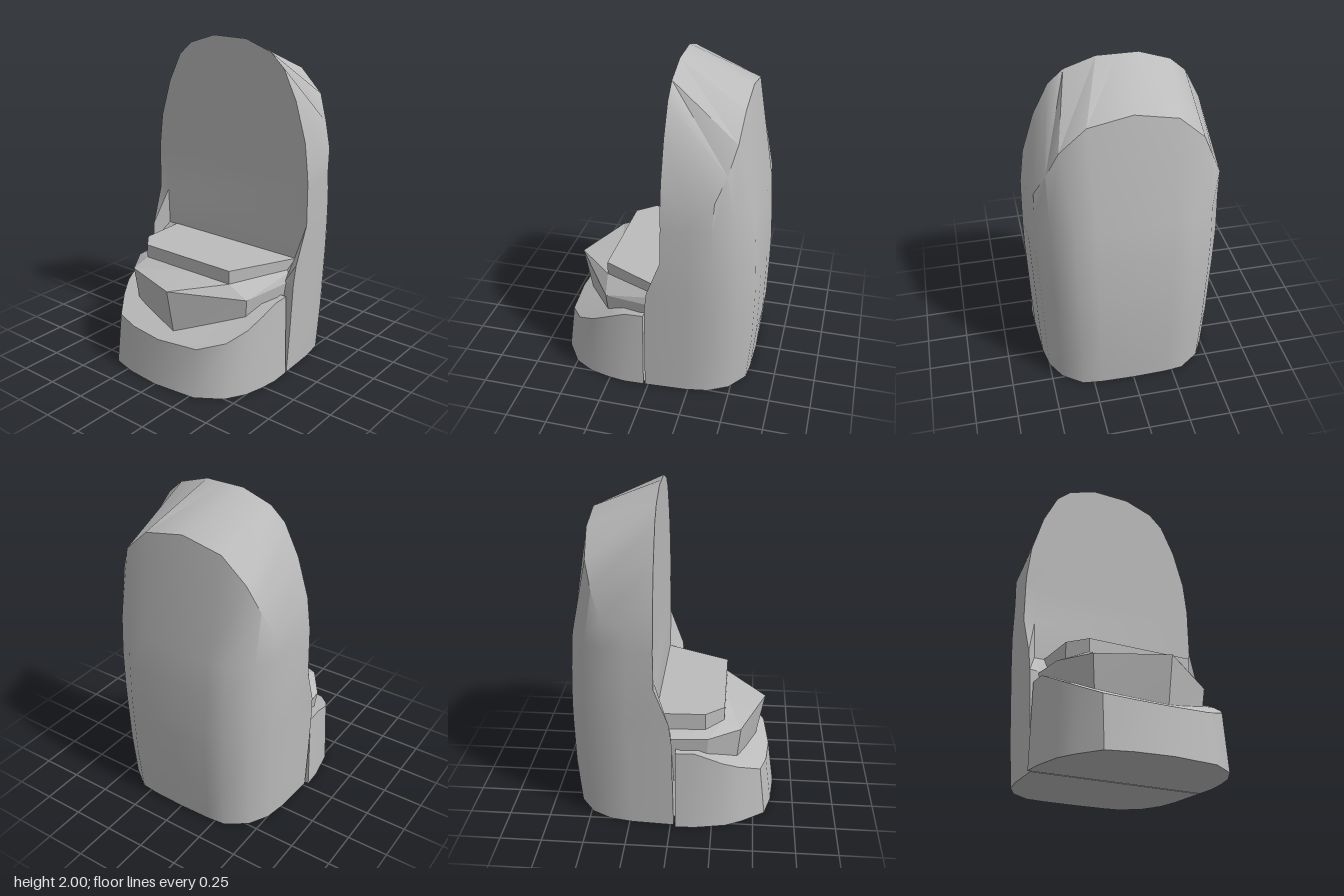
import * as THREE from 'three';
import { toCreasedNormals } from 'three/addons/utils/BufferGeometryUtils.js';

const stone = new THREE.MeshStandardMaterial({ color: 0xbcbcbc });
stone.name = 'grey stone';

// Skin closed rings of [x, y, z] from bottom to top, with a fan cap on each end.
function loft(name, rings, crease) {
  const pos = [];
  const V = (p) => new THREE.Vector3(...p);
  const tri = (a, b, c) => {
    const area = V(b).sub(V(a)).cross(V(c).sub(V(a))).length();
    if (area > 1e-6) pos.push(...a, ...b, ...c);
  };
  const centre = (ring) => [0, 1, 2].map((k) => ring.reduce((s, p) => s + p[k], 0) / ring.length);
  const n = rings[0].length;
  const bottom = rings[0], top = rings[rings.length - 1];
  const cb = centre(bottom), ct = centre(top);
  for (let i = 0; i < n; i++) {
    const j = (i + 1) % n;
    for (let r = 0; r < rings.length - 1; r++) {
      const lo = rings[r], hi = rings[r + 1];
      tri(lo[i], hi[i], lo[j]);
      tri(lo[j], hi[i], hi[j]);
    }
    tri(cb, bottom[i], bottom[j]);
    tri(ct, top[j], top[i]);
  }
  const geo = new THREE.BufferGeometry();
  geo.setAttribute('position', new THREE.Float32BufferAttribute(pos, 3));
  const mesh = new THREE.Mesh(toCreasedNormals(geo, crease), stone);
  mesh.name = name;
  return mesh;
}

// Half ring from the outer middle to the front edge, mirrored in z.
const mirror = (half) => [
  ...half,
  ...half.slice(1).reverse().map(([x, y, z]) => [x, y, -z]),
];

// Tall back: D-shaped plan, rounded arch on top, sloping roof
function makeBack() {
  const plan = [[0.625, 0], [0.62, 0.22], [0.607, 0.34], [0.515, 0.47], [0.39, 0.54], [0.25, 0.565]];
  // y, x scale, z scale, x of the front edge, x of the recessed front face
  const rows = [
    [0.005, 0.95, 0.93, -0.02, -0.02],
    [0.3, 0.99, 0.955, -0.015, -0.015],
    [0.6, 1, 0.975, -0.01, 0],
    [0.72, 1, 0.985, 0.005, 0.09],
    [0.95, 0.985, 1, 0.09, 0.09],
    [1.18, 0.96, 0.995, 0.092, 0.09],
  ];
  const rings = rows.map(([y, sx, sz, edge, face]) => mirror([
    ...plan.map(([x, z]) => [x * sx, y, z * sz]),
    [edge, y, 0.58 * sz],
    [face, y, 0.51 * sz],
  ]));
  const rim = [
    [0.49, 1.84, 0], [0.49, 1.79, 0.25], [0.48, 1.65, 0.4], [0.44, 1.49, 0.47],
    [0.385, 1.35, 0.535], [0.25, 1.29, 0.56], [0.09, 1.25, 0.575], [0.09, 1.25, 0.5],
  ];
  const arch = [
    [2, 0], [2, 0.12], [1.94, 0.3], [1.86, 0.39],
    [1.68, 0.48], [1.45, 0.55], [1.25, 0.575], [1.25, 0.5],
  ].map(([y, z]) => [0.09, y, z]);
  rings.push(mirror(rim), mirror(arch));
  return loft('tallBack', rings, 0.6);
}

// Low curved skirt with a top that slopes down to the outer side
function makeSkirt() {
  const plan = [
    [-0.03, 0.54], [-0.15, 0.545], [-0.26, 0.53], [-0.38, 0.5], [-0.5, 0.43], [-0.6, 0.28], [-0.63, 0],
    [-0.61, -0.22], [-0.57, -0.37], [-0.43, -0.47], [-0.33, -0.52], [-0.15, -0.555], [-0.03, -0.56],
  ];
  const height = (x) => Math.min(0.52, 0.29 + (x + 0.59) * 0.53);
  const base = plan.map(([x, z]) => [x, 0.005, z]);
  const top = plan.map(([x, z]) => {
    const tx = -0.03 + (x + 0.03) * 0.935;
    return [tx, height(tx), z * 0.98];
  });
  return loft('lowSkirt', [base, top], 0.6);
}

// Stepped seat block: wall, pointed ledge, riser and flat top
function makeSeat() {
  const base = [[0.085, 0.5], [-0.27, 0.4], [-0.5, 0.05], [-0.38, -0.33], [-0.2, -0.45], [0.085, -0.48]]
    .map(([x, z]) => [x, 0.28, z]);
  const ledge = [
    [0.085, 0.6, 0.53], [-0.29, 0.56, 0.43], [-0.56, 0.605, 0.05],
    [-0.41, 0.59, -0.36], [-0.22, 0.59, -0.49], [0.085, 0.59, -0.515],
  ];
  const step = [
    [0.095, 0.66, 0.51], [-0.31, 0.64, 0.315], [-0.31, 0.64, 0],
    [-0.31, 0.64, -0.335], [-0.2, 0.62, -0.43], [0.095, 0.62, -0.44],
  ];
  const top = step.map(([x, , z]) => [x, 0.722, z]);
  return loft('steppedSeat', [base, ledge, step, top], 0.15);
}

export function createModel() {
  const group = new THREE.Group();
  group.name = 'stoneSeat';
  group.add(makeBack(), makeSkirt(), makeSeat());
  return group;
}
